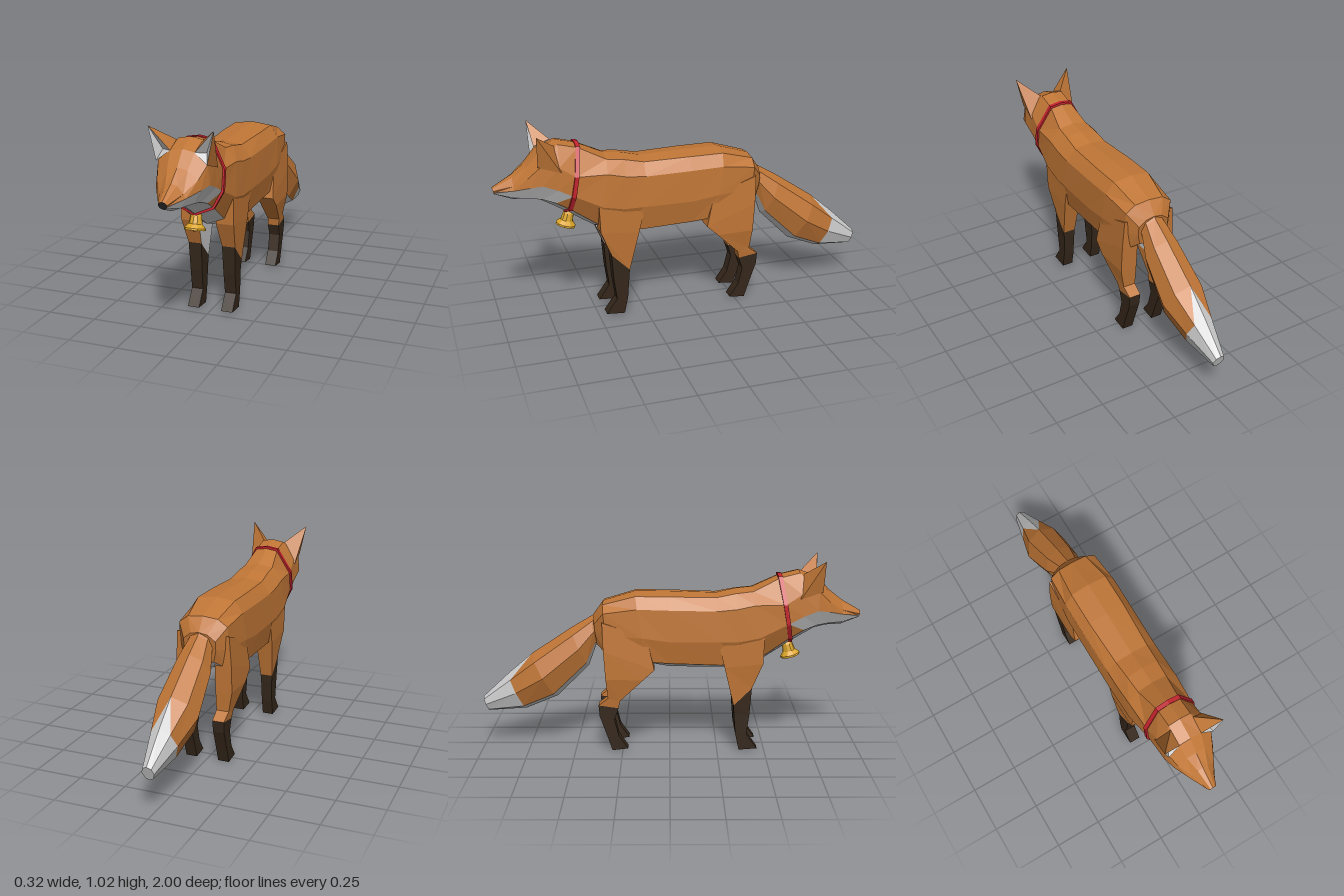
import * as THREE from 'three';

const COLORS = { orange: 0xc07636, pale: 0xcccccc, dark: 0x35271b, black: 0x222222, red: 0xc4232d, gold: 0xdba52a };
const material = (c) => new THREE.MeshStandardMaterial({ color: COLORS[c], flatShading: true });

// One mesh per colour from a list of { color, points } triangles
function meshesFrom(name, tris) {
  const group = new THREE.Group();
  group.name = name;
  for (const color of new Set(tris.map((t) => t.color))) {
    const pts = tris.filter((t) => t.color === color).flatMap((t) => t.points.flat());
    const geo = new THREE.BufferGeometry();
    geo.setAttribute('position', new THREE.Float32BufferAttribute(pts, 3));
    geo.computeVertexNormals();
    const mesh = new THREE.Mesh(geo, material(color));
    mesh.name = `${name} ${color}`;
    group.add(mesh);
  }
  return group;
}

// Skin closed rings (clockwise seen from the first ring); paint(i, j, t) picks each facet's colour
function loft(name, rings, paint, { flip = false, caps = [null, null], half = Infinity } = {}) {
  const tris = [];
  const add = (color, ...points) => tris.push({ color, points });
  for (let i = 0; i < rings.length - 1; i++) {
    const n = rings[i].length;
    for (let j = 0; j < n; j++) {
      const k = (j + 1) % n;
      const a = rings[i][j], b = rings[i][k], c = rings[i + 1][j], d = rings[i + 1][k];
      const c0 = paint(i, j, 0), c1 = paint(i, j, 1);
      if ((j >= half) !== flip) { add(c0, a, b, d); add(c1, a, d, c); }
      else { add(c0, a, b, c); add(c1, b, d, c); }
    }
  }
  const first = rings[0], last = rings[rings.length - 1];
  for (let j = 1; j < first.length - 1; j++) {
    if (caps[0]) add(caps[0], first[0], first[j + 1], first[j]);
    if (caps[1]) add(caps[1], last[0], last[j], last[j + 1]);
  }
  return meshesFrom(name, tris);
}

// Mirror half outlines (top centre to bottom centre) into full rings and loft them
function symmetricLoft(name, halves, paint, opts = {}) {
  const n = halves[0].length - 1;
  const rings = halves.map((h) => [...h, ...h.slice(1, -1).reverse().map(([x, y, z]) => [-x, y, z])]);
  return loft(name, rings, (i, j, t) => paint(i, j < n ? j : 2 * n - 1 - j, t), { ...opts, half: n });
}

// Half outline from [x, y] points, leaning from zTop to zBottom
function outline(zTop, zBottom, pts) {
  const y0 = pts[0][1], y1 = pts[pts.length - 1][1];
  return pts.map(([x, y]) => [x, y, zTop + (zBottom - zTop) * (y0 - y) / (y0 - y1)]);
}

const NECK = [[0, 0.93], [0.06, 0.92], [0.13, 0.79], [0.13, 0.69], [0.09, 0.61], [0, 0.57]];

function head() {
  const rings = [
    outline(1.0, 0.99, [[0, 0.737], [0.012, 0.733], [0.022, 0.722], [0.02, 0.714], [0.012, 0.704], [0, 0.7]]),
    outline(0.9, 0.9, [[0, 0.795], [0.028, 0.785], [0.058, 0.75], [0.07, 0.73], [0.045, 0.685], [0, 0.665]]),
    outline(0.83, 0.82, [[0, 0.85], [0.05, 0.84], [0.1, 0.8], [0.11, 0.75], [0.075, 0.685], [0, 0.66]]),
    outline(0.77, 0.76, [[0, 0.92], [0.06, 0.908], [0.122, 0.858], [0.13, 0.76], [0.085, 0.675], [0, 0.645]]),
    outline(0.67, 0.7, [[0, 0.955], [0.06, 0.945], [0.125, 0.845], [0.13, 0.73], [0.09, 0.65], [0, 0.61]]),
    outline(0.57, 0.635, NECK),
  ];
  const paint = (i, k, t) => (k === 4 || (k === 3 && (i < 4 || t === 0)) ? 'pale' : 'orange');
  return symmetricLoft('head', rings, paint, { caps: ['black', null] });
}

function body() {
  const rings = [
    outline(0.57, 0.635, NECK),
    outline(0.43, 0.49, [[0, 0.866], [0.08, 0.852], [0.138, 0.79], [0.145, 0.62], [0.09, 0.51], [0, 0.475]]),
    outline(0.34, 0.38, [[0, 0.856], [0.085, 0.842], [0.14, 0.77], [0.146, 0.6], [0.1, 0.48], [0, 0.44]]),
    outline(0.24, 0.27, [[0, 0.833], [0.09, 0.822], [0.14, 0.76], [0.148, 0.6], [0.122, 0.47], [0, 0.428]]),
    outline(0, 0, [[0, 0.84], [0.1, 0.828], [0.142, 0.765], [0.148, 0.6], [0.125, 0.48], [0, 0.432]]),
    outline(-0.18, -0.12, [[0, 0.842], [0.1, 0.83], [0.142, 0.77], [0.15, 0.62], [0.13, 0.49], [0, 0.46]]),
    outline(-0.35, -0.32, [[0, 0.79], [0.08, 0.782], [0.13, 0.745], [0.132, 0.63], [0.12, 0.52], [0, 0.52]]),
    outline(-0.4, -0.38, [[0, 0.72], [0.045, 0.712], [0.085, 0.68], [0.085, 0.63], [0.07, 0.57], [0, 0.56]]),
  ];
  return symmetricLoft('body', rings, (i, k) => (k === 4 ? 'pale' : 'orange'), { caps: [null, 'orange'] });
}

function tail() {
  // [top z, top y, bottom z, bottom y, half width]
  const rings = [
    [-0.35, 0.755, -0.35, 0.58, 0.07],
    [-0.41, 0.71, -0.39, 0.55, 0.07],
    [-0.52, 0.645, -0.43, 0.44, 0.095],
    [-0.73, 0.505, -0.6, 0.27, 0.112],
    [-0.86, 0.395, -0.77, 0.2, 0.072],
    [-1.0, 0.265, -0.97, 0.187, 0.032],
  ].map(([zt, yt, zb, yb, w]) => [[0, 0], [0.7, 0.14], [1, 0.48], [0.62, 0.88], [0, 1]]
    .map(([x, f]) => [x * w, yt + (yb - yt) * f, zt + (zb - zt) * f]));
  const paint = (i, k, t) => (k === 3 || i === 4 || (i === 3 && k === 0 && t === 1) ? 'pale' : 'orange');
  return symmetricLoft('tail', rings, paint, { flip: true, caps: ['orange', 'pale'] });
}

// Rows: [front y, front z, back y, back z, inner x, outer x], hip to paw
const FRONT_LEG = [
  [0.62, 0.49, 0.6, 0.25, 0.07, 0.14],
  [0.48, 0.485, 0.46, 0.285, 0.045, 0.138],
  [0.345, 0.43, 0.25, 0.335, 0.055, 0.124],
  [0.2, 0.42, 0.2, 0.338, 0.058, 0.12],
  [0.09, 0.405, 0.09, 0.347, 0.06, 0.12],
  [0.01, 0.462, 0.003, 0.366, 0.06, 0.12],
];
const HIND_LEG = [
  [0.62, -0.12, 0.7, -0.35, 0.07, 0.14],
  [0.45, -0.08, 0.55, -0.345, 0.06, 0.149],
  [0.395, -0.14, 0.4, -0.335, 0.06, 0.149],
  [0.275, -0.262, 0.29, -0.325, 0.06, 0.127],
  [0.235, -0.27, 0.25, -0.375, 0.058, 0.121],
  [0.17, -0.292, 0.19, -0.37, 0.06, 0.12],
  [0.08, -0.27, 0.07, -0.328, 0.06, 0.12],
  [0.01, -0.222, 0, -0.305, 0.06, 0.12],
];

function leg(name, rows, side, sockStart) {
  const rings = rows.map(([yf, zf, yb, zb, xi, xo]) => {
    const ring = [[xi, yb, zb], [xo, yb, zb], [xo, yf, zf], [xi, yf, zf]];
    return side > 0 ? ring : ring.map(([x, y, z]) => [-x, y, z]).reverse();
  });
  const paint = (i, j) => (i >= sockStart ? 'dark' : j === 3 && i < 2 ? 'pale' : 'orange');
  return loft(name, rings, paint, { caps: ['orange', 'dark'] });
}

function ear(name, s) {
  const tip = [0.16, 1.02, 0.79], inner = [0.06, 0.908, 0.772], outer = [0.125, 0.858, 0.785];
  const mid = [0.108, 0.905, 0.745], low = [0.132, 0.82, 0.67], back = [0.062, 0.94, 0.69];
  const faces = [
    ['pale', inner, mid, tip], ['pale', mid, outer, tip], ['pale', inner, outer, mid],
    ['orange', outer, low, tip], ['orange', low, back, tip], ['orange', back, inner, tip],
  ];
  return meshesFrom(name, faces.map(([color, ...p]) => {
    const points = p.map(([x, y, z]) => [s * x, y, z]);
    return { color, points: s > 0 ? points : points.reverse() };
  }));
}

function collar() {
  // Square band: inner front, outer front, outer back, inner back
  const rings = [[0.96, 0.01], [1.07, 0.01], [1.07, -0.012], [0.96, -0.012]].map(([s, dz]) =>
    outline(0.57 + dz, 0.635 + dz, NECK.map(([x, y]) => [x * s, 0.75 + (y - 0.75) * (1 + (s - 1) * 0.6)])));
  return symmetricLoft('collar', rings, () => 'red');
}

function bell() {
  const group = new THREE.Group();
  group.name = 'bell';
  const profile = [[0, 0.082], [0.02, 0.082], [0.028, 0.068], [0.033, 0.03], [0.052, 0.01], [0.052, 0], [0.042, 0], [0.025, 0.03], [0, 0.06]]
    .reverse().map(([r, y]) => new THREE.Vector2(r, y));
  const shell = new THREE.Mesh(new THREE.LatheGeometry(profile, 10), material('gold'));
  shell.name = 'bell shell';
  const clapper = new THREE.Mesh(new THREE.IcosahedronGeometry(0.014, 0), material('gold'));
  clapper.name = 'clapper';
  clapper.position.y = 0.004;
  const loop = new THREE.Mesh(new THREE.TorusGeometry(0.012, 0.004, 4, 8), material('gold'));
  loop.name = 'bell loop';
  loop.position.y = 0.086;
  for (const m of [shell, clapper, loop]) {
    if (m === shell) m.material.side = THREE.DoubleSide;
    group.add(m);
  }
  group.position.set(0, 0.492, 0.64);
  group.rotation.x = -0.27;
  return group;
}

export function createModel() {
  const fox = new THREE.Group();
  fox.name = 'fox';
  fox.add(head(), body(), tail(), collar(), bell());
  for (const [label, s] of [['left', 1], ['right', -1]]) {
    fox.add(ear(`${label} ear`, s), leg(`${label} front leg`, FRONT_LEG, s, 2), leg(`${label} hind leg`, HIND_LEG, s, 4));
  }
  return fox;
}
